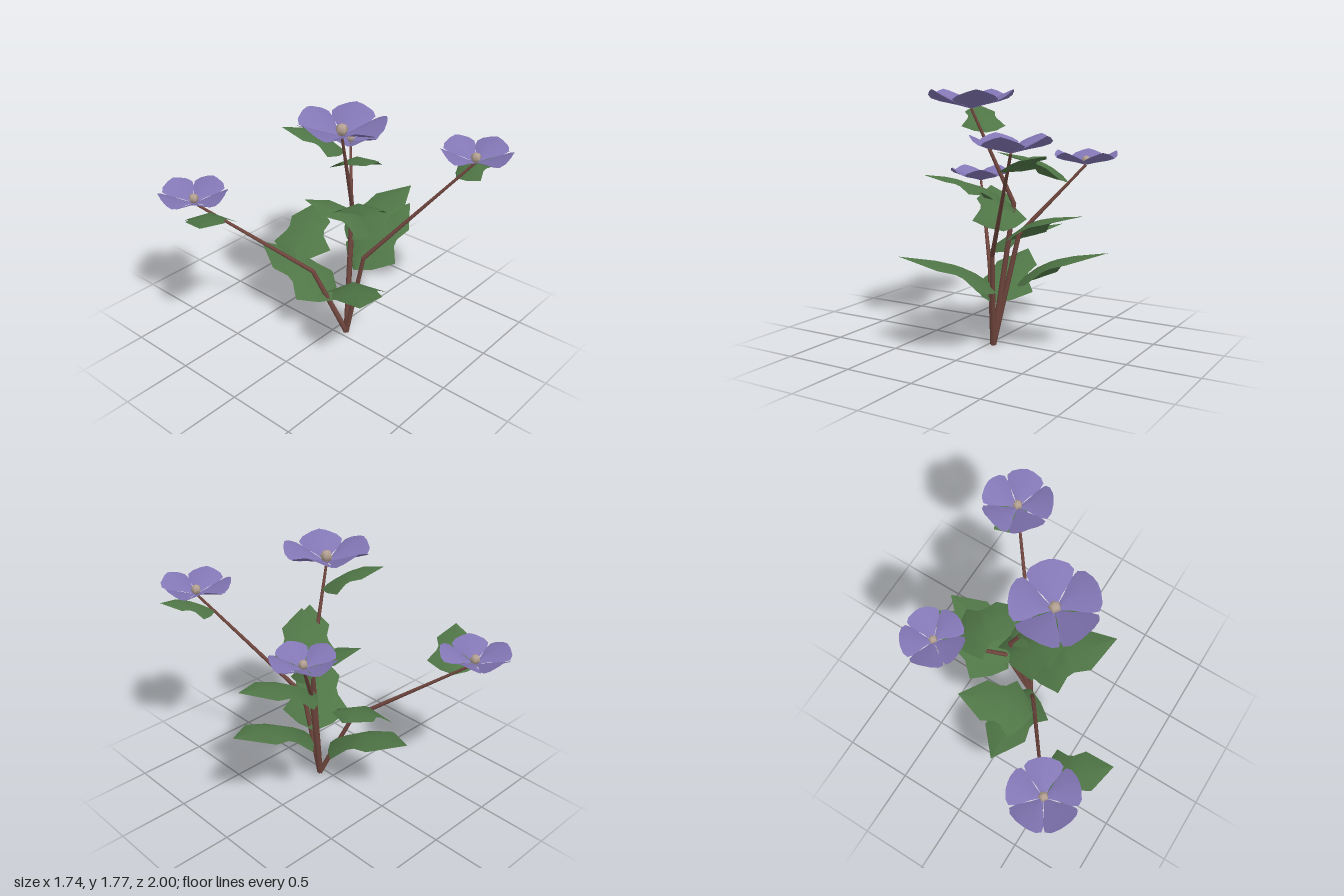
import * as THREE from 'three';

const mat = (name, color) => {
  const m = new THREE.MeshStandardMaterial({ color, side: THREE.DoubleSide });
  m.name = name;
  return m;
};
const V = (x, y, z) => new THREE.Vector3(x, y, z);

// Surface through rows of [left, middle, right] points
function ribbon(rows) {
  const pos = [], idx = [];
  rows.forEach((row, i) => {
    row.forEach(p => pos.push(p.x, p.y, p.z));
    if (i === 0) return;
    for (let j = 0; j < 2; j++) {
      const a = (i - 1) * 3 + j, b = a + 3;
      idx.push(a, b, a + 1, b, b + 1, a + 1);
    }
  });
  const g = new THREE.BufferGeometry();
  g.setAttribute('position', new THREE.Float32BufferAttribute(pos, 3));
  g.setIndex(idx);
  g.computeVertexNormals();
  return g;
}

// Toothed leaf outline: [along, half width], as shares of the length
const LEAF = [[0, 0], [0.1, 0.18], [0.27, 0.36], [0.42, 0.24], [0.5, 0.22], [0.67, 0.25], [1, 0]];
// Arched midrib with sides that droop most near the base
function leafGeometry(base, tip, width) {
  const dir = tip.clone().sub(base), len = dir.length();
  const side = V(0, 1, 0).cross(dir).normalize();
  const up = dir.clone().cross(side).normalize();
  return ribbon(LEAF.map(([t, w]) => {
    const half = w * len * width, droop = half * (0.42 - 0.3 * t);
    const mid = base.clone().addScaledVector(dir, t)
      .addScaledVector(up, 0.1 * len * Math.sin(Math.PI * Math.pow(t, 0.8)));
    const edge = s => mid.clone().addScaledVector(side, s * half).addScaledVector(up, -droop);
    return [edge(-1), mid, edge(1)];
  }));
}

// Rounded petal outline: [along, half width], as shares of the flower radius
const PETAL = [[0.04, 0.03], [0.3, 0.2], [0.6, 0.45], [0.8, 0.53], [0.92, 0.42], [0.99, 0.18]];
// Rising petal with drooping sides
function petalGeometry(R) {
  return ribbon(PETAL.map(([r, w]) => {
    const lift = 0.46 * R * r;
    const edge = s => V(r * R, lift - w * 0.25 * R, s * w * R);
    return [edge(1), V(r * R * 1.01, lift, 0), edge(-1)];
  }));
}

// Tapered straight piece of stem
function stemPiece(a, b, r0, r1, material) {
  const d = b.clone().sub(a);
  const m = new THREE.Mesh(new THREE.CylinderGeometry(r1, r0, d.length(), 6), material);
  m.position.copy(a).addScaledVector(d, 0.5);
  m.quaternion.setFromUnitVectors(V(0, 1, 0), d.normalize());
  m.name = 'stem';
  return m;
}

export function createModel() {
  const petalMat = mat('petal purple', 0x8276b4);
  const leafMat = mat('leaf green', 0x4f7546);
  const stemMat = mat('stem brown', 0x70463e);
  const heartMat = mat('heart tan', 0xb5a294);
  const model = new THREE.Group();
  model.name = 'floweringPlant';

  // Stems, each with one bend, ending in a five petalled flower
  const root = V(0.045, 0.005, 0.095);
  const plants = [
    { bend: V(0.17, 1.0, 0.03), top: V(-0.09, 1.64, 0.155), R: 0.285, turn: 93 },
    { bend: V(-0.1, 0.52, -0.1), top: V(-0.585, 1.035, -0.765), R: 0.24, turn: 85 },
    { bend: V(0.1, 0.66, 0.2), top: V(0.56, 1.41, 0.757), R: 0.24, turn: 70 },
    { bend: V(0.2, 0.79, 0.01), top: V(0.547, 1.255, -0.305), R: 0.213, turn: 110 },
  ];
  for (const { bend, top, R, turn } of plants) {
    model.add(stemPiece(root, bend, 0.021, 0.016, stemMat));
    model.add(stemPiece(bend, top, 0.016, 0.009, stemMat));
    const joint = new THREE.Mesh(new THREE.IcosahedronGeometry(0.017, 0), stemMat);
    joint.name = 'stemJoint';
    joint.position.copy(bend);
    model.add(joint);

    const flower = new THREE.Group();
    flower.name = 'flower';
    flower.position.copy(top);
    const geo = petalGeometry(R);
    for (let k = 0; k < 5; k++) {
      const petal = new THREE.Mesh(geo, petalMat);
      petal.name = 'petal';
      petal.rotation.y = THREE.MathUtils.degToRad(turn - 72 * k);
      flower.add(petal);
    }
    const heart = new THREE.Mesh(new THREE.SphereGeometry(R * 0.15, 5, 4), heartMat);
    heart.name = 'flowerHeart';
    heart.position.y = R * 0.15;
    flower.add(heart);
    model.add(flower);
  }

  // Leaves: base, tip, width factor
  const leaves = [
    [[0.09, 0.39, 0.1], [-0.4, 0.67, 0.58], 0.92],
    [[0.2, 0.44, 0.03], [0.87, 0.73, 0.03], 0.9],
    [[0, 0.28, 0.03], [-0.08, 0.55, -0.64], 0.88],
    [[-0.17, 0.6, -0.21], [0.32, 0.81, -0.42], 1.05],
    [[0.12, 0.74, 0.03], [0.73, 0.97, 0.13], 0.9],
    [[0.19, 0.95, 0.04], [-0.18, 1.2, 0.43], 0.95],
    [[0.2, 0.84, 0.22], [-0.12, 1.09, -0.15], 0.95],
    [[0.46, 1.14, -0.21], [0.12, 1.36, 0.18], 0.95],
    [[0, 1.48, 0.11], [-0.27, 1.66, -0.2], 0.95],
    [[0.49, 1.29, 0.66], [0.82, 1.41, 0.81], 1],
    [[-0.5, 0.94, -0.66], [-0.87, 1.1, -0.37], 1.05],
  ];
  for (const [base, tip, width] of leaves) {
    const leaf = new THREE.Mesh(leafGeometry(V(...base), V(...tip), width), leafMat);
    leaf.name = 'leaf';
    model.add(leaf);
  }
  return model;
}
